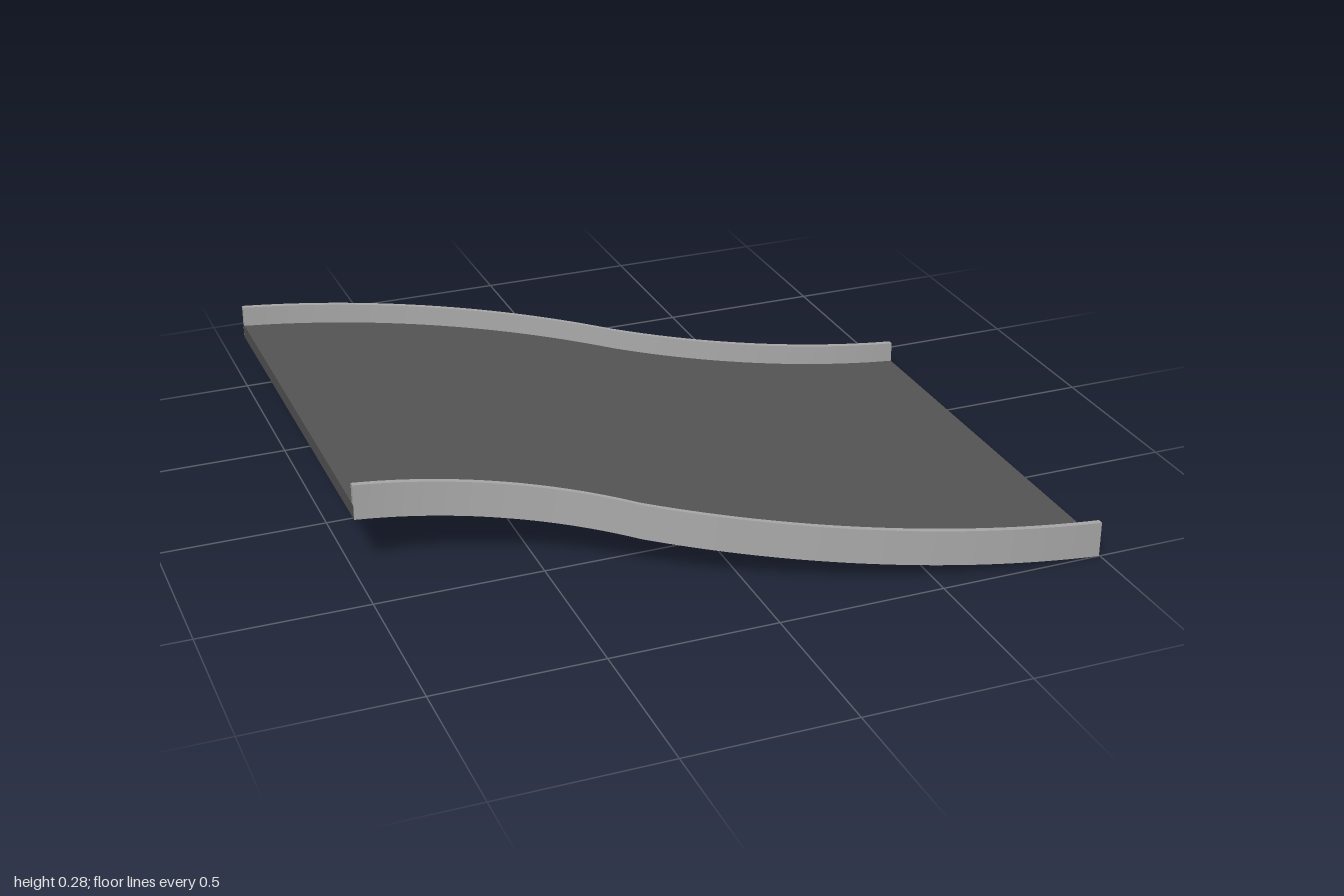
import * as THREE from 'three';
import { toCreasedNormals } from 'three/addons/utils/BufferGeometryUtils.js';

const HALF = 0.997;      // half length along x
const SLAB = 0.045;      // deck thickness
const WALL = 0.108;      // full kerb height
const STEPS = 48;

// Height of the underside: a straight ramp falling towards +x
const ramp = (x) => 0.176 * (HALF - x) / (2 * HALF);

// S-shaped edge: two arcs, level at both ends, meeting at (jx, jz)
function sCurve(z0, jx, jz, z1) {
  const radius = (run, rise) => (run * run + rise * rise) / (2 * rise);
  const sag = (d, r) => r - Math.sqrt(r * r - d * d);
  const ra = radius(jx + HALF, jz - z0);
  const rb = radius(HALF - jx, z1 - jz);
  return (x) => (x < jx ? z0 + sag(x + HALF, ra) : z1 - sag(HALF - x, rb));
}
const farEdge = sCurve(-1, 0.12, -0.605, -0.333);
const nearEdge = sCurve(0.328, -0.25, 0.615, 1);

// Move every vertex by a rule
function bend(geometry, rule) {
  const p = geometry.attributes.position;
  for (let i = 0; i < p.count; i++) {
    p.setXYZ(i, ...rule(p.getX(i), p.getY(i), p.getZ(i)));
  }
  geometry.computeVertexNormals();
  return geometry;
}

// Kerb: upstand on the deck with a thin skirt covering the deck side
function kerb(edge, inward) {
  const t = 0.017 * inward, skin = 0.002 * inward;
  const section = new THREE.Shape([
    [0, 0], [0, WALL], [t, WALL], [t, SLAB], [skin, SLAB], [skin, 0],
  ].map(([u, v]) => new THREE.Vector2(u, v)));
  const geometry = new THREE.ExtrudeGeometry(section, {
    depth: 2 * HALF, steps: STEPS, bevelEnabled: false,
  });
  return toCreasedNormals(bend(geometry, (u, v, d) => {
    const x = HALF - d;
    return [x, v + ramp(x), edge(x) + u];
  }), 0.5);
}

export function createModel() {
  const group = new THREE.Group();
  const add = (name, geometry, color) => {
    const mesh = new THREE.Mesh(geometry, new THREE.MeshStandardMaterial({ color }));
    mesh.name = name;
    group.add(mesh);
  };

  // Sloping deck stretched between the two curved edges
  const deck = new THREE.BoxGeometry(2 * HALF, SLAB, 1, STEPS, 1, 1);
  add('roadDeck', bend(deck, (x, y, z) => [
    x,
    y + SLAB / 2 + ramp(x),
    THREE.MathUtils.lerp(farEdge(x) + 0.001, nearEdge(x) - 0.001, z + 0.5),
  ]), 0x555555);

  // Kerbs along both sides
  add('farKerb', kerb(farEdge, 1), 0xaaaaaa);
  add('nearKerb', kerb(nearEdge, -1), 0xaaaaaa);
  return group;
}
